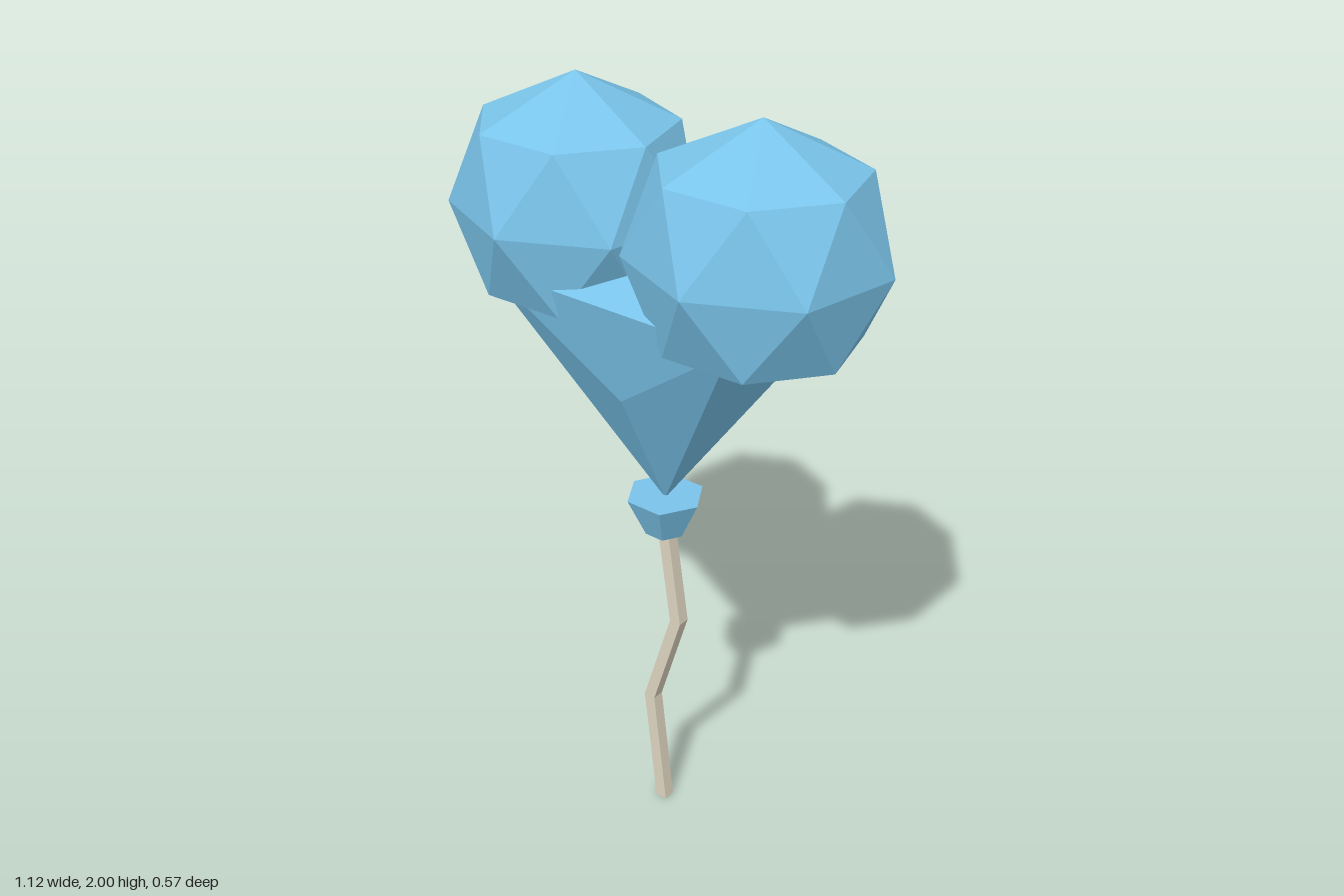
import * as THREE from 'three';
import { ConvexGeometry } from 'three/addons/geometries/ConvexGeometry.js';

const v = (x, y, z) => new THREE.Vector3(x, y, z);

// Faceted ball: two poles and three staggered rings of seven points
function ballGeometry() {
  const points = [v(0, 0.31, 0), v(0, -0.31, 0)];
  const rings = [[0.195, 0.245, 0.5], [0, 0.31, 0], [-0.195, 0.245, 0.5]];
  for (const [y, r, shift] of rings) {
    for (let i = 0; i < 7; i++) {
      const a = ((i + shift) / 7) * Math.PI * 2 + 0.03;
      points.push(v(r * Math.sin(a), y, r * 0.96 * Math.cos(a)));
    }
  }
  return new ConvexGeometry(points);
}

// Tapered lower half of the heart: tip, bulges, side corners and low roof
function bodyGeometry() {
  const points = [v(0, 0.97, 0), v(0, 1.65, 0)];
  for (const s of [-1, 1]) {
    points.push(v(0, 1.31, s * 0.165), v(s * 0.44, 1.57, 0));
    points.push(v(s * 0.35, 1.57, 0.225), v(s * 0.35, 1.57, -0.225));
  }
  return new ConvexGeometry(points);
}

// Square string, each level shifted sideways to make the zigzag
function stringGeometry() {
  const levels = [[0, 0.92], [0.045, 0.615], [-0.04, 0.335], [0, 0]];
  const geo = new THREE.CylinderGeometry(0.023, 0.023, 3, 4, 3);
  geo.rotateY(Math.PI / 4);
  const p = geo.attributes.position;
  for (let i = 0; i < p.count; i++) {
    const [dx, y] = levels[Math.round(1.5 - p.getY(i))];
    p.setX(i, p.getX(i) + dx);
    p.setY(i, y);
  }
  geo.computeVertexNormals();
  return geo;
}

export function createModel() {
  const blue = new THREE.MeshStandardMaterial({ color: 0x7ac4ea, flatShading: true });
  const cream = new THREE.MeshStandardMaterial({ color: 0xded4c0, flatShading: true });
  const group = new THREE.Group();
  const add = (name, geo, mat, x = 0, y = 0) => {
    const mesh = new THREE.Mesh(geo, mat);
    mesh.name = name;
    mesh.position.set(x, y, -0.012);
    group.add(mesh);
  };

  // Two lobes on top of the tapered body
  const ball = ballGeometry();
  add('leftLobe', ball, blue, 0.26, 1.69);
  add('rightLobe', ball, blue, -0.26, 1.69);
  add('balloonBody', bodyGeometry(), blue);

  // Flared knot under the tip
  const knot = new THREE.CylinderGeometry(0.1, 0.052, 0.105, 6);
  knot.rotateY(Math.PI / 6);
  add('knot', knot, blue, 0, 0.9275);

  add('string', stringGeometry(), cream);
  return group;
}
